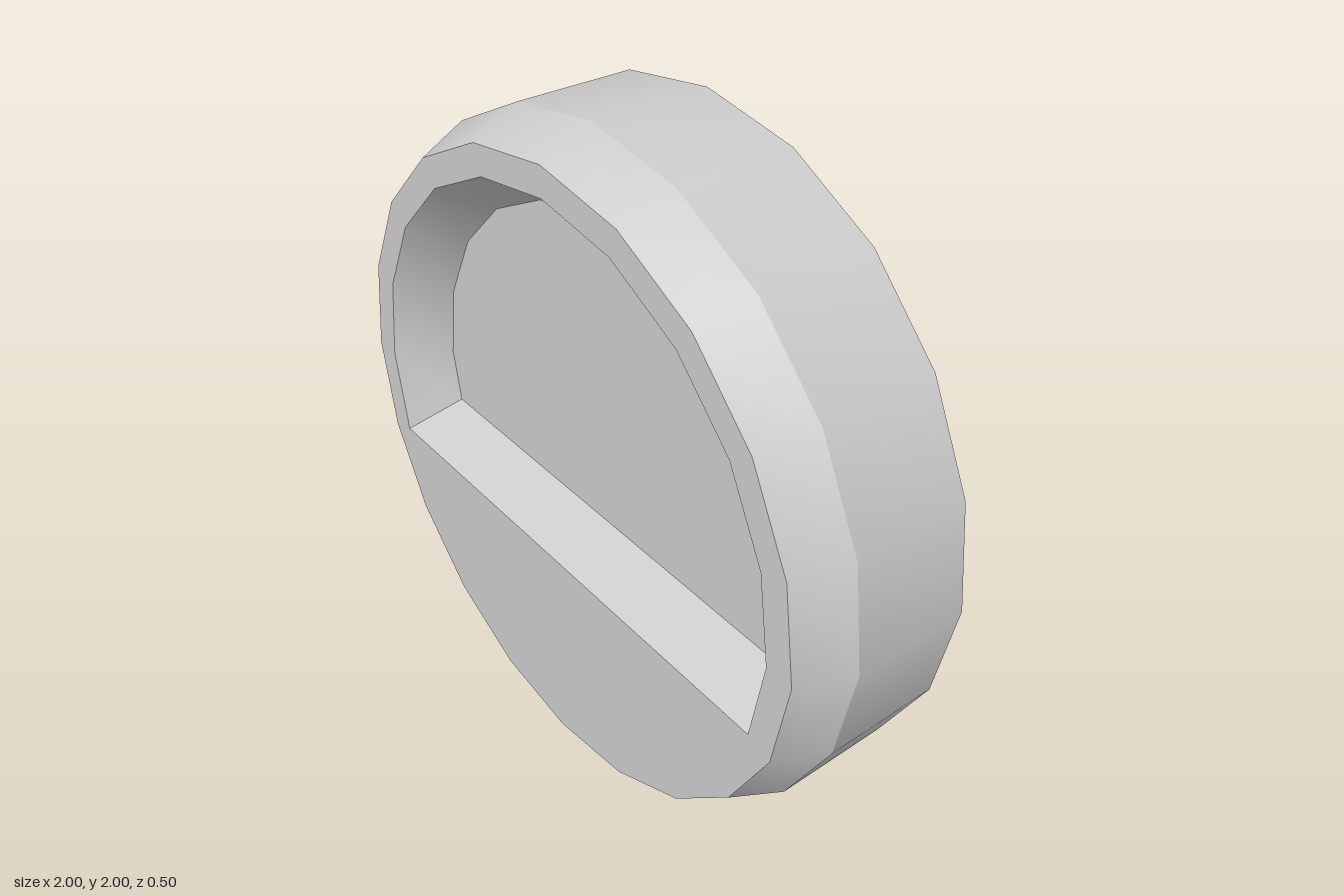
import * as THREE from 'three';
import { toCreasedNormals } from 'three/addons/utils/BufferGeometryUtils.js';

const SIDES = 20;
const STEP = (Math.PI * 2) / SIDES;

// Points on a circle, anticlockwise, from step number `first`
function arc(radius, first, count) {
  return Array.from({ length: count }, (_, i) => {
    const a = (first + i) * STEP;
    return new THREE.Vector2(radius * Math.cos(a), radius * Math.sin(a));
  });
}

// Closed band of quads between two loops of equal length, smooth round the curve
function band(a, za, b, zb) {
  const pos = [];
  a.forEach((p, i) => {
    const j = (i + 1) % a.length;
    const [q, r, s] = [a[j], b[j], b[i]];
    pos.push(p.x, p.y, za, q.x, q.y, za, r.x, r.y, zb);
    pos.push(p.x, p.y, za, r.x, r.y, zb, s.x, s.y, zb);
  });
  const geo = new THREE.BufferGeometry();
  geo.setAttribute('position', new THREE.Float32BufferAttribute(pos, 3));
  return toCreasedNormals(geo, 0.35);
}

export function createModel() {
  const group = new THREE.Group();
  const grey = new THREE.MeshStandardMaterial({ color: 0xcccccc });
  grey.name = 'light grey';
  const add = (name, geo) => {
    const mesh = new THREE.Mesh(geo, grey);
    mesh.name = name;
    group.add(mesh);
    return mesh;
  };

  const back = -0.25, shoulder = 0.1, front = 0.25;
  const outer = arc(1, 0, SIDES);
  const face = arc(0.935, 0, SIDES);

  // Recess: an arc closed by a straight lower edge, tapering to its floor
  const rim = arc(0.85, -1, 13);
  const floor = arc(0.75, -1, 13);
  floor[0].set(0.722, -0.165);
  floor[12].set(-0.722, -0.165);

  // Disc side and chamfer
  add('discSide', band(outer, back, outer, shoulder));
  add('frontChamfer', band(outer, shoulder, face, front));

  // Back cap
  const cap = add('backFace', new THREE.ShapeGeometry(new THREE.Shape(outer)));
  cap.rotation.y = Math.PI;
  cap.position.z = back;

  // Front face with the recess cut out
  const faceShape = new THREE.Shape(face);
  faceShape.holes.push(new THREE.Path(rim));
  add('frontFace', new THREE.ShapeGeometry(faceShape)).position.z = front;

  // Sloping recess wall with its ledge, and the floor
  add('recessWall', band(rim, front, floor, shoulder));
  add('recessFloor', new THREE.ShapeGeometry(new THREE.Shape(floor))).position.z = shoulder;

  group.position.y = 1;
  const model = new THREE.Group();
  model.name = 'recessedDisc';
  group.name = 'disc';
  model.add(group);
  return model;
}
